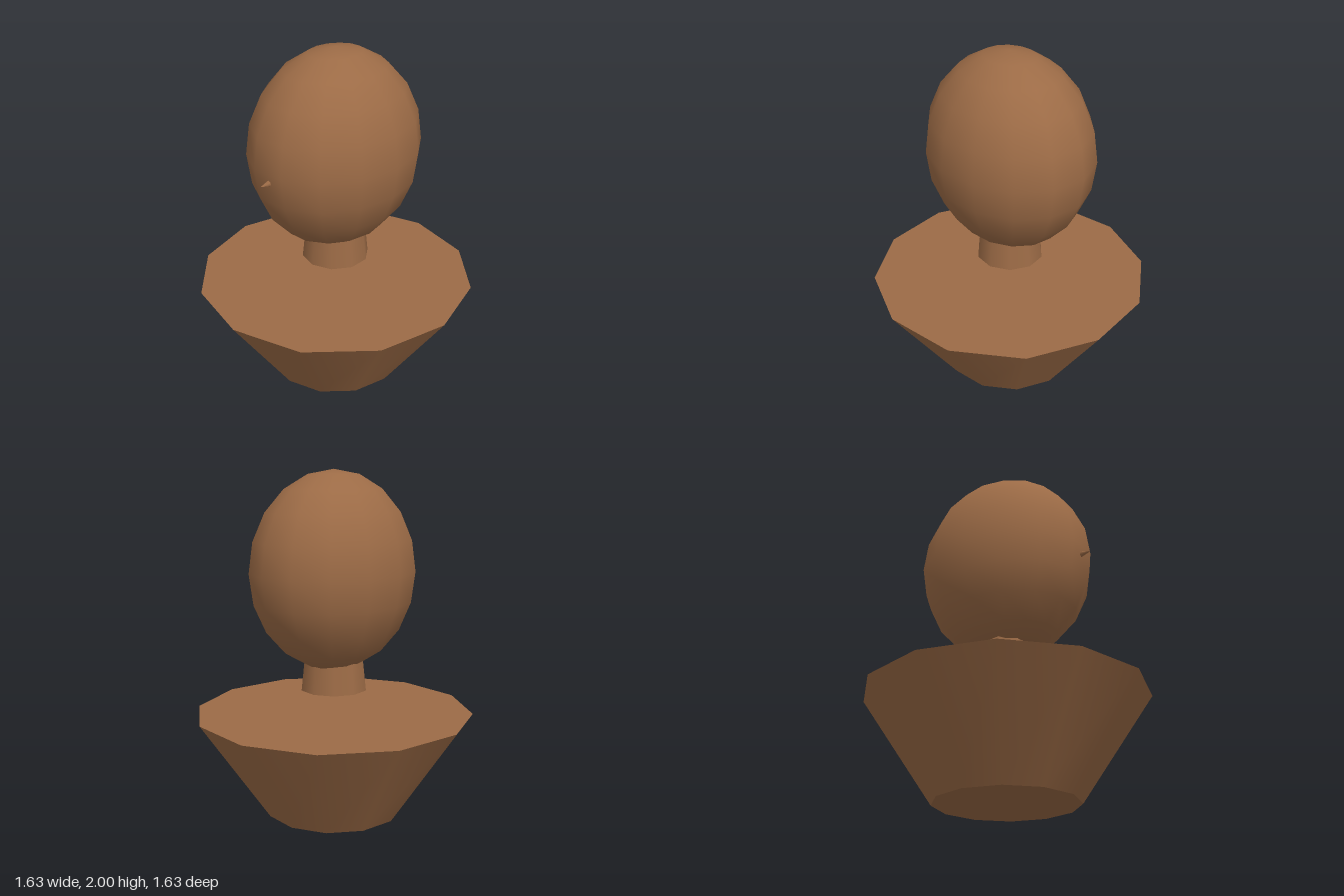
import * as THREE from 'three';

export function createModel() {
  const group = new THREE.Group();
  const brown = new THREE.MeshStandardMaterial({ color: 0x9c6b46 });
  brown.name = 'warm brown';

  const add = (name, geometry, x, y, z) => {
    const mesh = new THREE.Mesh(geometry, brown);
    mesh.name = name;
    mesh.position.set(x, y, z);
    group.add(mesh);
    return mesh;
  };

  // Flared twelve-sided shoulders, closed at both ends
  add('shoulders', new THREE.CylinderGeometry(0.815, 0.408, 0.6, 12), 0, 0.3, 0);

  // Tapered neck, floating above the shoulders and ending inside the head
  add('neck', new THREE.CylinderGeometry(0.17, 0.197, 0.25, 10), 0, 0.86, 0);

  // Egg-like head, deeper than wide
  const head = add('head', new THREE.SphereGeometry(1, 14, 10), 0, 1.428, 0);
  head.scale.set(0.45, 0.572, 0.532);

  // Tiny pointed nose facing forward
  const nose = new THREE.ConeGeometry(0.021, 0.07, 6);
  nose.rotateX(Math.PI / 2);
  add('nose', nose, 0, 1.378, 0.536);

  return group;
}
